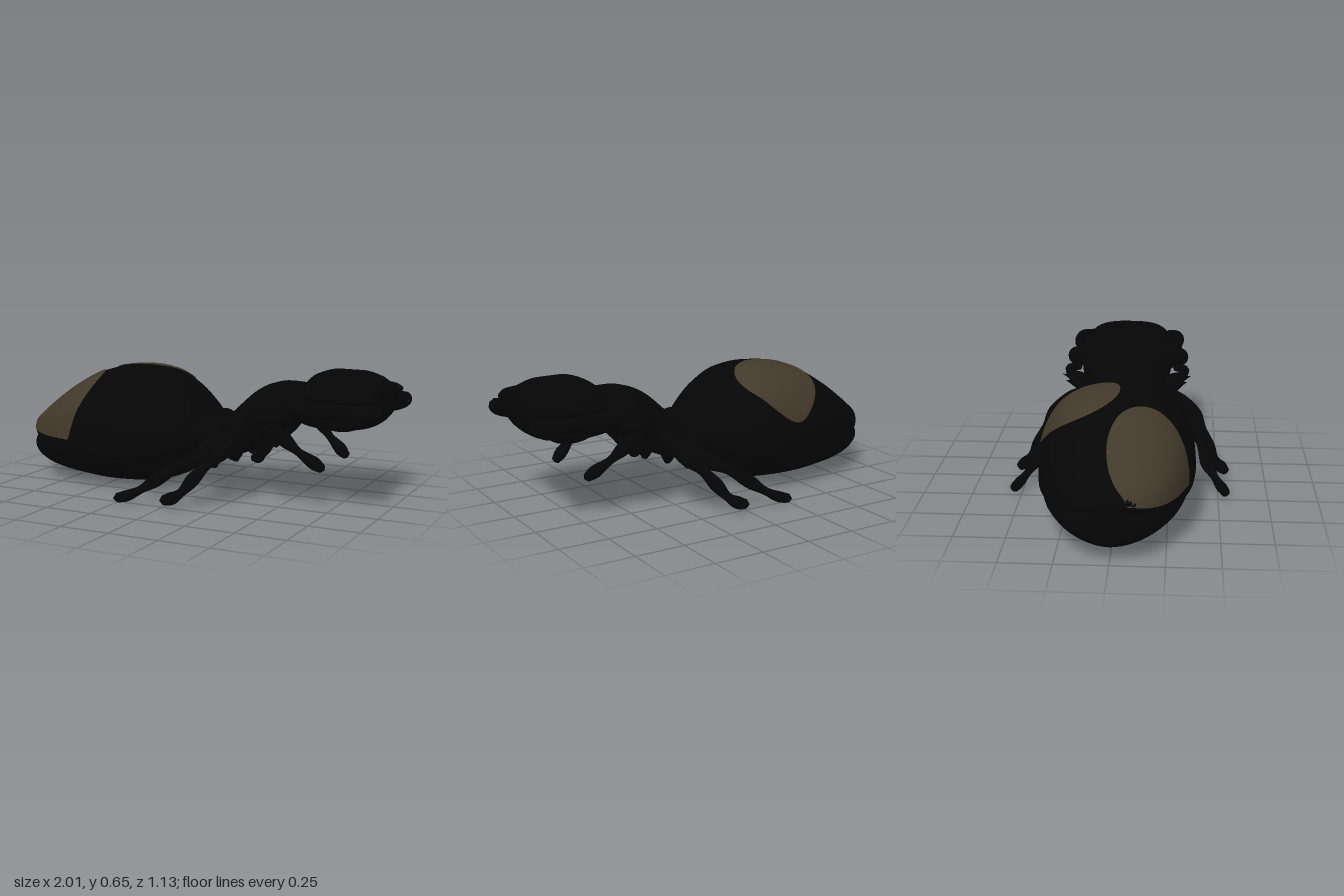
import * as THREE from 'three';

const black = new THREE.MeshStandardMaterial({ color: 0x050505 });
black.name = 'black shell';
const ochre = new THREE.MeshStandardMaterial({ color: 0x41392a, side: THREE.DoubleSide });
ochre.name = 'ochre spot';

// Smooth monotone interpolation of rows [x, bottom, middle, top, halfWidth] at x
function sectionAt(rows, x) {
  let k = 0;
  while (k < rows.length - 2 && x > rows[k + 1][0]) k++;
  const h = rows[k + 1][0] - rows[k][0], t = (x - rows[k][0]) / h;
  const slope = (i, c) => (rows[i + 1][c] - rows[i][c]) / (rows[i + 1][0] - rows[i][0]);
  const tangent = (i, c) => {
    if (i === 0) return slope(0, c);
    if (i === rows.length - 1) return slope(i - 1, c);
    const a = slope(i - 1, c), b = slope(i, c);
    return a * b <= 0 ? 0 : (2 * a * b) / (a + b);
  };
  return [1, 2, 3, 4].map((c) => {
    const t2 = t * t, t3 = t2 * t;
    return (2 * t3 - 3 * t2 + 1) * rows[k][c] + (t3 - 2 * t2 + t) * h * tangent(k, c)
      + (3 * t2 - 2 * t3) * rows[k + 1][c] + (t3 - t2) * h * tangent(k + 1, c);
  });
}

// Closed body shell made of superellipse rings along x
function loft(name, rows, power = 2, sides = 56, steps = 8) {
  const pos = [], index = [], xs = [];
  for (let k = 0; k < rows.length - 1; k++)
    for (let i = 0; i < steps; i++) xs.push(rows[k][0] + (rows[k + 1][0] - rows[k][0]) * i / steps);
  xs.push(rows[rows.length - 1][0]);
  const e = 2 / power;
  xs.forEach((x, i) => {
    const [yb, ym, yt, w] = sectionAt(rows, x);
    for (let j = 0; j < sides; j++) {
      const a = j / sides * Math.PI * 2, c = Math.cos(a), s = Math.sin(a);
      const up = Math.abs(s) ** e;
      pos.push(x, s >= 0 ? ym + (yt - ym) * up : ym - (ym - yb) * up, w * Math.sign(c) * Math.abs(c) ** e);
      if (i < xs.length - 1) {
        const p = i * sides + j, q = i * sides + (j + 1) % sides;
        index.push(p, p + sides, q, q, p + sides, q + sides);
      }
    }
  });
  // End caps
  const rear = xs.length * sides, last = rear - sides;
  pos.push(xs[0], rows[0][2], 0, xs[xs.length - 1], rows[rows.length - 1][2], 0);
  for (let j = 0; j < sides; j++) {
    const n = (j + 1) % sides;
    index.push(rear, j, n, rear + 1, last + n, last + j);
  }
  return surface(name, pos, index, black);
}

function surface(name, pos, index, material) {
  const g = new THREE.BufferGeometry();
  g.setAttribute('position', new THREE.Float32BufferAttribute(pos, 3));
  g.setIndex(index);
  g.computeVertexNormals();
  const m = new THREE.Mesh(g, material);
  m.name = name;
  return m;
}

// Round spot lying on the wing cases, outlined in plan
function spot(name, rows, power, cx, cz, rx, rz) {
  const pos = [], index = [], rings = 24, n = 72;
  for (let i = 0; i <= rings; i++) for (let j = 0; j < n; j++) {
    const a = j / n * Math.PI * 2, r = i / rings;
    const x = Math.max(-0.998, cx + rx * r * Math.cos(a));
    const [, ym, yt, w] = sectionAt(rows, x);
    const f = THREE.MathUtils.clamp((cz + rz * r * Math.sin(a)) / w, -0.997, 0.997);
    const y = ym + (yt - ym + 0.006) * (1 - Math.abs(f) ** power) ** (1 / power);
    pos.push(x, y, f * (w + 0.006));
    if (i < rings) {
      const p = i * n + j, q = i * n + (j + 1) % n;
      index.push(p, q, p + n, q, q + n, p + n);
    }
  }
  return surface(name, pos, index, ochre);
}

// Tapered limb through points [x, y, z, radius]; side mirrors z
function limb(name, pts, side) {
  const curve = new THREE.CatmullRomCurve3(pts.map((p) => new THREE.Vector3(p[0], p[1], p[2] * side)));
  const segs = 40, around = 10;
  const g = new THREE.TubeGeometry(curve, segs, 1, around);
  const v = new THREE.Vector3(), pa = g.attributes.position;
  for (let i = 0; i <= segs; i++) {
    const c = curve.getPointAt(i / segs);
    const t = curve.getUtoTmapping(i / segs) * (pts.length - 1);
    const k = Math.min(Math.floor(t), pts.length - 2);
    let r = THREE.MathUtils.lerp(pts[k][3], pts[k + 1][3], THREE.MathUtils.smoothstep(t - k, 0, 1));
    if (i === 0 || i === segs) r = 0.001;
    for (let j = 0; j <= around; j++) {
      const id = i * (around + 1) + j;
      v.fromBufferAttribute(pa, id).sub(c).multiplyScalar(r).add(c);
      pa.setXYZ(id, v.x, v.y, v.z);
    }
  }
  const m = new THREE.Mesh(g, black);
  m.name = name;
  return m;
}

function ball(name, x, y, z, rx, ry, rz) {
  const m = new THREE.Mesh(new THREE.SphereGeometry(1, 20, 14), black);
  m.position.set(x, y, z);
  m.scale.set(rx, ry, rz);
  m.name = name;
  return m;
}

function spike(x, y, z, side) {
  const m = new THREE.Mesh(new THREE.ConeGeometry(0.018, 0.06, 8), black);
  m.position.set(x, y, z * side);
  m.rotation.x = side * 1.2;
  m.name = 'spike';
  return m;
}

export function createModel() {
  const model = new THREE.Group();

  // Abdomen: lower belly and overlapping wing cases
  model.add(loft('belly', [
    [-0.99, 0.1, 0.18, 0.25, 0.11], [-0.975, 0.08, 0.18, 0.26, 0.155], [-0.94, 0.062, 0.18, 0.27, 0.195],
    [-0.85, 0.035, 0.18, 0.3, 0.255], [-0.7, 0.015, 0.19, 0.34, 0.32], [-0.5, 0, 0.2, 0.36, 0.355],
    [-0.3, 0.01, 0.2, 0.36, 0.36], [-0.12, 0.06, 0.22, 0.34, 0.3], [-0.02, 0.15, 0.26, 0.33, 0.22], [0.03, 0.24, 0.28, 0.3, 0.08],
  ], 1.85));
  const cases = [
    [-1, 0.27, 0.28, 0.3, 0.06], [-0.99, 0.255, 0.27, 0.315, 0.115], [-0.95, 0.23, 0.25, 0.345, 0.185],
    [-0.88, 0.205, 0.232, 0.4, 0.248], [-0.75, 0.17, 0.215, 0.495, 0.312], [-0.58, 0.145, 0.205, 0.585, 0.36],
    [-0.46, 0.135, 0.205, 0.612, 0.376], [-0.35, 0.13, 0.205, 0.618, 0.383], [-0.25, 0.135, 0.21, 0.605, 0.381],
    [-0.14, 0.15, 0.225, 0.55, 0.348], [-0.05, 0.19, 0.25, 0.472, 0.295], [0.01, 0.22, 0.28, 0.395, 0.23], [0.035, 0.26, 0.3, 0.335, 0.1],
  ];
  model.add(loft('wingCases', cases, 2.35, 72));
  model.add(spot('rightSpot', cases, 2.35, -0.4, -0.175, 0.22, 0.19));
  model.add(spot('leftSpot', cases, 2.35, -0.785, 0.185, 0.255, 0.208));

  // Waist collar and thorax
  model.add(loft('collar', [
    [-0.01, 0.25, 0.3, 0.35, 0.12], [0.02, 0.21, 0.3, 0.405, 0.235], [0.06, 0.2, 0.3, 0.41, 0.225],
    [0.11, 0.19, 0.3, 0.375, 0.18], [0.18, 0.22, 0.3, 0.36, 0.12],
  ], 2.2));
  model.add(loft('thorax', [
    [0.07, 0.24, 0.28, 0.32, 0.08], [0.1, 0.19, 0.28, 0.37, 0.175], [0.16, 0.18, 0.3, 0.405, 0.2],
    [0.22, 0.2, 0.34, 0.465, 0.2], [0.3, 0.24, 0.38, 0.535, 0.195], [0.36, 0.28, 0.41, 0.565, 0.21],
    [0.43, 0.33, 0.45, 0.58, 0.235], [0.5, 0.37, 0.47, 0.575, 0.245], [0.57, 0.41, 0.48, 0.55, 0.22], [0.6, 0.46, 0.48, 0.5, 0.05],
  ], 2.1));

  // Head: broad skull with a narrower flat crown
  model.add(loft('skull', [
    [0.52, 0.47, 0.49, 0.51, 0.06], [0.54, 0.42, 0.485, 0.55, 0.2], [0.58, 0.39, 0.485, 0.575, 0.275],
    [0.63, 0.375, 0.485, 0.6, 0.3], [0.7, 0.364, 0.485, 0.605, 0.295], [0.78, 0.368, 0.485, 0.605, 0.305],
    [0.87, 0.382, 0.49, 0.6, 0.295], [0.93, 0.41, 0.5, 0.585, 0.265], [0.95, 0.45, 0.51, 0.565, 0.21], [0.955, 0.49, 0.515, 0.54, 0.12],
  ], 2));
  model.add(loft('crown', [
    [0.55, 0.46, 0.5, 0.555, 0.1], [0.58, 0.45, 0.5, 0.6, 0.18], [0.62, 0.45, 0.5, 0.637, 0.215], [0.68, 0.45, 0.5, 0.65, 0.235],
    [0.8, 0.45, 0.5, 0.649, 0.235], [0.88, 0.45, 0.5, 0.63, 0.225], [0.93, 0.46, 0.5, 0.6, 0.2], [0.95, 0.47, 0.5, 0.57, 0.16],
  ], 2.9));

  for (const side of [1, -1]) {
    const s = side > 0 ? 'left' : 'right';
    // Head details
    model.add(ball(s + 'Eye', 0.61, 0.495, side * 0.29, 0.055, 0.05, 0.05));
    model.add(ball(s + 'Cheek', 0.8, 0.45, side * 0.24, 0.12, 0.055, 0.055));
    model.add(limb(s + 'Brow', [[0.58, 0.53, 0.25, 0.018], [0.67, 0.55, 0.285, 0.02], [0.82, 0.552, 0.29, 0.022],
      [0.9, 0.55, 0.27, 0.022], [0.96, 0.545, 0.215, 0.016]], side));
    model.add(limb(s + 'Jaw', [[0.84, 0.46, 0.23, 0.04], [0.92, 0.475, 0.255, 0.045], [0.965, 0.49, 0.25, 0.042], [0.995, 0.49, 0.225, 0.022]], side));
    model.add(ball(s + 'Lip', 0.92, 0.5, side * 0.085, 0.045, 0.06, 0.065));

    // Legs
    model.add(limb(s + 'FrontLeg', [[0.38, 0.4, 0.2, 0.042], [0.45, 0.41, 0.28, 0.042], [0.53, 0.335, 0.25, 0.035],
      [0.59, 0.275, 0.22, 0.02], [0.66, 0.22, 0.19, 0.032], [0.705, 0.185, 0.17, 0.02]], side));
    model.add(limb(s + 'MiddleLeg', [[0.29, 0.35, 0.16, 0.04], [0.3, 0.36, 0.26, 0.038], [0.26, 0.28, 0.37, 0.043],
      [0.195, 0.21, 0.42, 0.025], [0.14, 0.14, 0.455, 0.034], [0.095, 0.08, 0.49, 0.022], [0.06, 0.055, 0.52, 0.032], [0.01, 0.045, 0.55, 0.022]], side));
    model.add(limb(s + 'HindLeg', [[0.14, 0.31, 0.14, 0.04], [0.175, 0.31, 0.25, 0.038], [0.14, 0.245, 0.365, 0.043],
      [0.04, 0.19, 0.415, 0.026], [-0.06, 0.12, 0.445, 0.034], [-0.13, 0.07, 0.485, 0.02], [-0.19, 0.04, 0.52, 0.028], [-0.25, 0.027, 0.545, 0.022]], side));

    // Folded limb bases under the thorax
    [0.13, 0.25, 0.38].forEach((x, i) => model.add(limb(s + 'LegBase', [
      [x + 0.09, 0.36 + i * 0.04, 0.2, 0.035], [x + 0.02, 0.25 + i * 0.05, 0.18, 0.045],
      [x - 0.03, 0.18 + i * 0.045, 0.13, 0.035], [x - 0.05, 0.13 + i * 0.045, 0.09, 0.018]], side)));
    model.add(limb(s + 'Feeler', [[0.58, 0.44, 0.27, 0.02], [0.5, 0.45, 0.32, 0.025], [0.42, 0.42, 0.29, 0.025], [0.35, 0.37, 0.22, 0.02]], side));

    // Side spikes
    for (const [x, y, z] of [[0.46, 0.42, 0.33], [0.51, 0.44, 0.32], [0.41, 0.4, 0.31], [0.18, 0.29, 0.3], [0.57, 0.5, 0.31]])
      model.add(spike(x, y, z, side));
  }
  return model;
}
